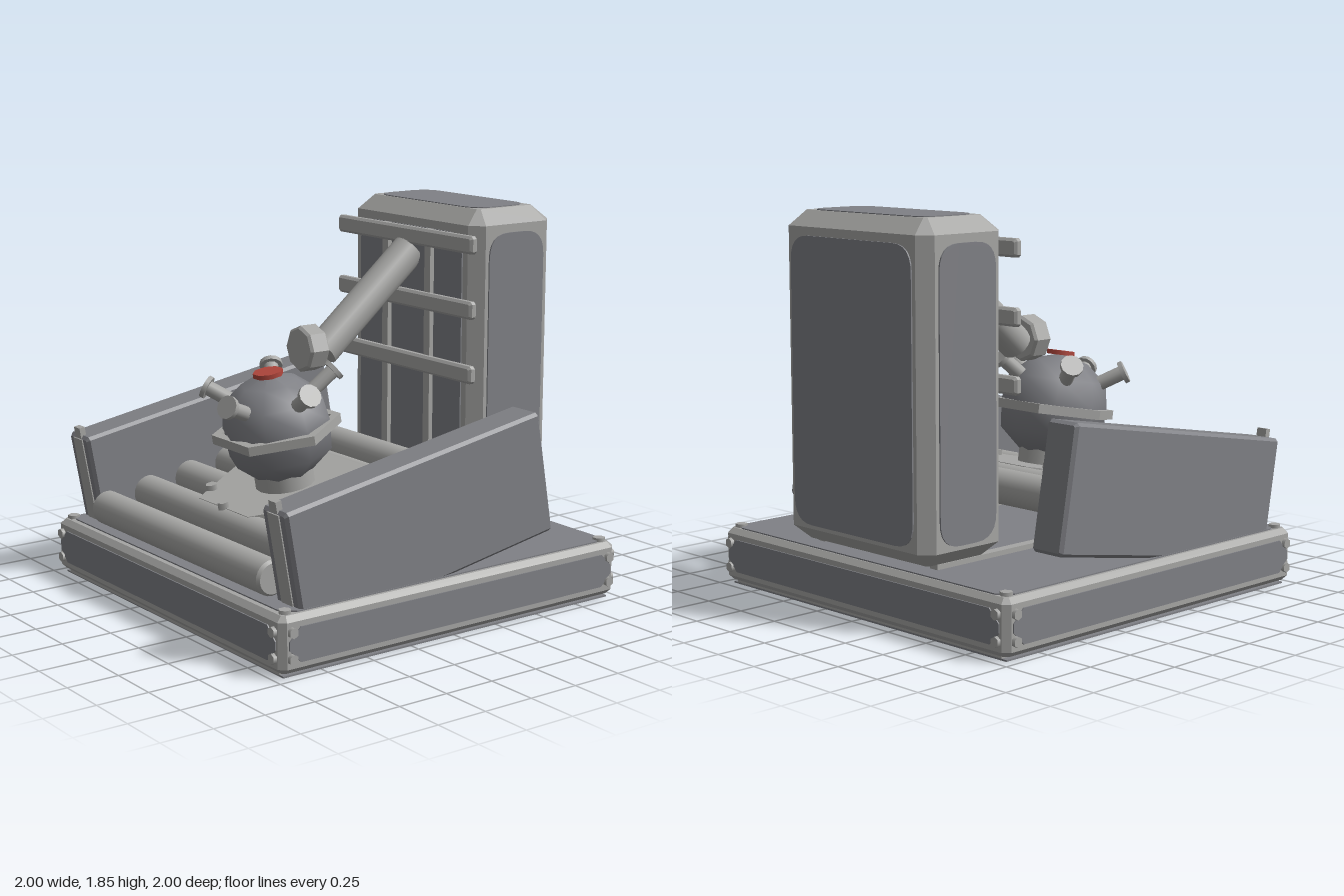
import * as THREE from 'three';

const light = new THREE.MeshStandardMaterial({ color: 0xa6a6a4 });
light.name = 'light grey metal';
const dark = new THREE.MeshStandardMaterial({ color: 0x808186 });
dark.name = 'dark grey panel';
const red = new THREE.MeshStandardMaterial({ color: 0xb0463c });
red.name = 'red cap';

const TILT = THREE.MathUtils.degToRad(10);

function add(parent, name, geo, mat, x = 0, y = 0, z = 0) {
  const m = new THREE.Mesh(geo, mat);
  m.name = name;
  m.position.set(x, y, z);
  parent.add(m);
  return m;
}

// Rectangle with cut corners, or with rounded ones
function panelShape(w, h, c, round = false) {
  const s = new THREE.Shape(), x = w / 2, y = h / 2;
  const corner = (cx, cy, ex, ey) => (round ? s.quadraticCurveTo(cx, cy, ex, ey) : s.lineTo(ex, ey));
  s.moveTo(-x + c, -y);
  s.lineTo(x - c, -y);
  corner(x, -y, x, -y + c);
  s.lineTo(x, y - c);
  corner(x, y, x - c, y);
  s.lineTo(-x + c, y);
  corner(-x, y, -x, y - c);
  s.lineTo(-x, -y + c);
  corner(-x, -y, -x + c, -y);
  return s;
}

// Slab centred on its middle, of total thickness d with bevelled faces
function slab(shape, d, bevel = 0, bevelDepth = bevel) {
  const depth = d - 2 * bevelDepth;
  const g = new THREE.ExtrudeGeometry(shape, {
    depth, curveSegments: 6, bevelEnabled: bevel > 0, bevelSize: bevel,
    bevelOffset: -bevel, bevelThickness: bevelDepth, bevelSegments: 1,
  });
  return g.translate(0, 0, -depth / 2);
}

// Box with every edge chamfered
const chamferBox = (w, h, d, c) => slab(panelShape(w, h, c), d, c);

// Cylinder from a to b
function rod(parent, name, a, b, r, mat, sides = 20) {
  const dir = b.clone().sub(a);
  const m = add(parent, name, new THREE.CylinderGeometry(r, r, dir.length(), sides), mat);
  m.position.copy(a).add(b).multiplyScalar(0.5);
  m.quaternion.setFromUnitVectors(new THREE.Vector3(0, 1, 0), dir.normalize());
  return m;
}

function buildBase() {
  const g = new THREE.Group();
  g.name = 'base';
  add(g, 'baseBody', slab(panelShape(1.96, 1.96, 0.03), 0.26, 0.025).rotateX(-Math.PI / 2), light, 0, 0.15, 0);
  add(g, 'baseSole', new THREE.BoxGeometry(1.84, 0.02, 1.9), light, 0, 0.014, 0);
  add(g, 'underPanel', new THREE.BoxGeometry(1.9, 0.008, 1.9), dark, 0, 0.004, 0);
  add(g, 'deckPanel', slab(panelShape(1.88, 1.88, 0.06), 0.01).rotateX(-Math.PI / 2), dark, 0, 0.281, -0.01);
  // Side panels with triangular corner clips
  for (let i = 0; i < 4; i++) {
    const side = new THREE.Group();
    side.name = 'baseSide';
    side.rotation.y = i * Math.PI / 2;
    add(side, 'baseSidePanel', slab(panelShape(1.88, 0.16, 0.06), 0.008), dark, 0, 0.15, 0.982);
    for (const sx of [-1, 1]) for (const sy of [-1, 1]) {
      const clip = new THREE.CylinderGeometry(0.025, 0.025, 0.02, 6).rotateX(Math.PI / 2);
      add(side, 'cornerClip', clip, light, sx * 0.925, 0.15 + sy * 0.06, 0.988);
    }
    add(side, 'deckBolt', new THREE.CylinderGeometry(0.03, 0.03, 0.03, 6), light, 0.92, 0.282, 0.92);
    g.add(side);
  }
  for (const s of [-1, 1]) add(g, 'deckRail', new THREE.BoxGeometry(0.05, 0.03, 1.7), light, s * 0.39, 0.295, 0.0);
  return g;
}

function buildTower() {
  const g = new THREE.Group();
  g.name = 'tower';
  g.position.set(0, 0, -0.735);
  add(g, 'towerBody', slab(panelShape(0.98, 0.5, 0.06), 1.54, 0.08, 0.07).rotateX(-Math.PI / 2), light, 0, 1.08, 0);
  add(g, 'topPanel', slab(panelShape(0.78, 0.33, 0.11, true), 0.008).rotateX(-Math.PI / 2), dark, 0, 1.85, 0);
  add(g, 'backPanel', slab(panelShape(0.82, 1.34, 0.12, true), 0.01), dark, 0, 1.07, -0.252);
  add(g, 'frontPanel', slab(panelShape(0.79, 1.34, 0.1, true), 0.01), dark, 0, 1.07, 0.252);
  for (const s of [-1, 1]) {
    const p = slab(panelShape(0.34, 1.34, 0.12, true), 0.01).rotateY(Math.PI / 2);
    add(g, 'sidePanel', p, dark, s * 0.492, 1.07, 0);
    add(g, 'ladderUpright', new THREE.BoxGeometry(0.045, 1.36, 0.025), light, s * 0.165, 1.06, 0.268);
  }
  for (const y of [1.08, 1.39, 1.7]) add(g, 'ladderRung', chamferBox(1.05, 0.085, 0.045, 0.012), light, 0, y, 0.287);
  return g;
}

function buildConveyor() {
  const g = new THREE.Group();
  g.name = 'rollerBed';
  const slope = Math.tan(TILT);
  for (let i = 0; i < 6; i++) {
    const z = 0.845 - i * 0.239, y = 0.37 + (0.845 - z) * slope;
    const r = 0.083, h = 0.727;
    const m = add(g, 'roller', new THREE.CylinderGeometry(r, r, 2 * h - 0.03, 24).rotateZ(Math.PI / 2), light, 0, y, z);
    for (const s of [-1, 1]) {
      const end = new THREE.CylinderGeometry(r - 0.012, r, 0.015, 24).rotateZ(-s * Math.PI / 2);
      add(m, 'rollerEnd', end, light, s * (h - 0.0075), 0, 0);
    }
  }
  // Tilted side walls
  for (const s of [-1, 1]) {
    const wall = new THREE.Group();
    wall.name = 'sideWall';
    wall.position.set(s * 0.845, 0.555, 0.16);
    wall.rotation.x = TILT;
    add(wall, 'wallBody', chamferBox(0.185, 0.59, 1.452, 0.015), dark);
    add(wall, 'wallFrontStrip', new THREE.BoxGeometry(0.085, 0.56, 0.012), light, 0, 0.0, 0.726);
    add(wall, 'wallFrontTab', new THREE.BoxGeometry(0.055, 0.07, 0.03), light, 0, 0.3, 0.71);
    g.add(wall);
  }
  return g;
}

function buildBall() {
  const g = new THREE.Group();
  g.name = 'ballUnit';
  g.position.set(0, 0.545, 0.27);
  g.rotation.x = TILT;
  // Hexagonal mounting plate with bolts
  const hex = (r, h) => new THREE.CylinderGeometry(r, r, h, 6).rotateY(Math.PI / 6).toNonIndexed();
  const plate = hex(0.42, 0.025).rotateY(Math.PI / 3);
  plate.computeVertexNormals();
  add(g, 'mountPlate', plate, light);
  const bolts = [[0.36, 0], [0.25, -0.25], [0.25, 0.26], [-0.36, 0], [-0.25, -0.25], [-0.25, 0.26], [0, 0.36]];
  for (const [x, z] of bolts) add(g, 'plateBolt', new THREE.CylinderGeometry(0.03, 0.03, 0.035, 6), light, x, 0.022, z);
  add(g, 'neck', new THREE.CylinderGeometry(0.145, 0.145, 0.1, 16), light, 0, 0.05, 0);

  const ball = new THREE.Group();
  ball.name = 'ball';
  ball.position.y = 0.31;
  g.add(ball);
  const profile = [[0, -0.25], [0.14, -0.24], [0.25, -0.14], [0.262, 0], [0.24, 0.13], [0.14, 0.215], [0, 0.255]];
  add(ball, 'ballShell', new THREE.LatheGeometry(profile.map(([x, y]) => new THREE.Vector2(x, y)), 8), dark);
  add(ball, 'redCap', new THREE.CylinderGeometry(0.073, 0.073, 0.022, 8).rotateY(Math.PI / 8), red, 0, 0.258, 0);

  // Hexagonal collar
  const ring = new THREE.Shape(), hole = new THREE.Path();
  for (let i = 0; i < 6; i++) {
    const a = i * Math.PI / 3, c = Math.cos(a), s = Math.sin(a);
    ring[i ? 'lineTo' : 'moveTo'](0.31 * c, 0.31 * s);
    hole[i ? 'lineTo' : 'moveTo'](0.265 * c, 0.265 * s);
  }
  ring.holes.push(hole);
  add(ball, 'collar', slab(ring, 0.045).rotateX(-Math.PI / 2), light, 0, -0.02, 0);

  // Five flanged nozzles
  const elev = THREE.MathUtils.degToRad(32);
  for (let i = 0; i < 5; i++) {
    const a = i * Math.PI * 2 / 5;
    const d = new THREE.Vector3(Math.cos(elev) * Math.cos(a), Math.sin(elev), Math.cos(elev) * Math.sin(a));
    const at = (t) => d.clone().multiplyScalar(t);
    rod(ball, 'nozzle', at(0.2), at(0.38), 0.036, light, 12);
    rod(ball, 'nozzleFlange', at(0.368), at(0.39), 0.056, light, 12);
  }
  return g;
}

function buildArm() {
  const g = new THREE.Group();
  g.name = 'arm';
  rod(g, 'armTube', new THREE.Vector3(0, 1.62, -0.47), new THREE.Vector3(0, 1.178, 0.055), 0.083, light);
  // Octagonal head with bevelled rims
  const oct = new THREE.Shape();
  for (let i = 0; i < 8; i++) {
    const a = i * Math.PI / 4;
    oct[i ? 'lineTo' : 'moveTo'](0.112 * Math.cos(a), 0.112 * Math.sin(a));
  }
  add(g, 'armHead', slab(oct, 0.11, 0.012), light, 0, 1.2, 0.137);
  return g;
}

export function createModel() {
  const model = new THREE.Group();
  model.name = 'rollerMachine';
  model.add(buildBase(), buildTower(), buildConveyor(), buildBall(), buildArm());
  return model;
}
